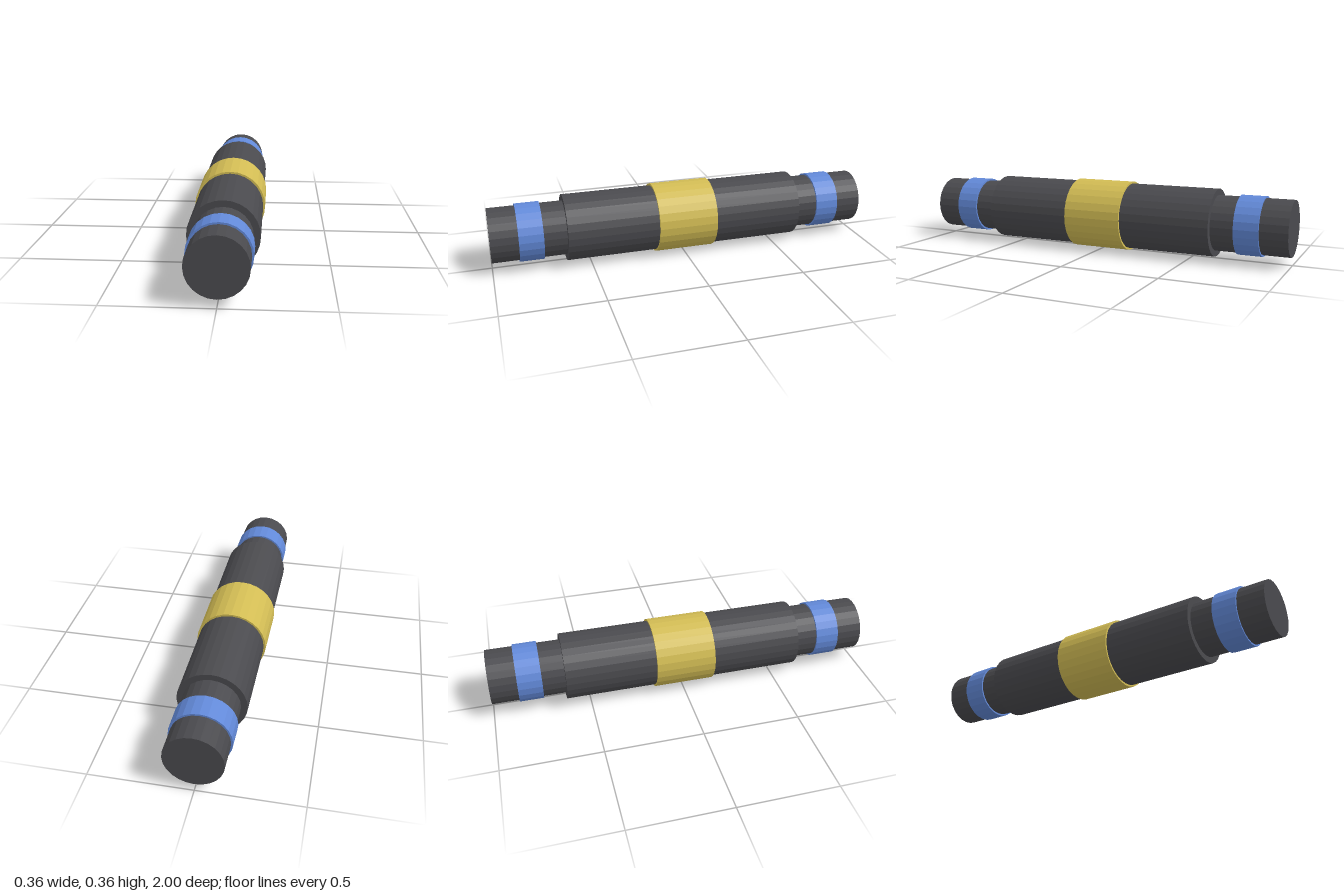
import * as THREE from 'three';

const AXIS_Y = 0.181;

export function createModel() {
  const model = new THREE.Group();
  const material = (name, color) => {
    const m = new THREE.MeshStandardMaterial({ color, flatShading: true });
    m.name = name;
    return m;
  };
  const darkGrey = material('darkGrey', 0x4a4a4e);
  const yellow = material('yellow', 0xd2bc54);
  const blue = material('blue', 0x6289d8);

  // Faceted cylinder lying along z, with a corner at the top
  const addCylinder = (name, radius, length, z, sides, mat) => {
    const geometry = new THREE.CylinderGeometry(radius, radius, length, sides);
    geometry.rotateX(Math.PI / 2);
    const mesh = new THREE.Mesh(geometry, mat);
    mesh.name = name;
    mesh.position.set(0, AXIS_Y, z);
    model.add(mesh);
  };

  // Main barrel and its central band
  addCylinder('barrel', 0.171, 1.246, 0, 28, darkGrey);
  addCylinder('centreBand', AXIS_Y, 0.31, 0, 28, yellow);

  // Narrower end sections, each with a coloured ring
  for (const [end, side] of [['front', 1], ['back', -1]]) {
    addCylinder(end + 'End', 0.14, 0.4, side * 0.8, 24, darkGrey);
    addCylinder(end + 'Ring', 0.149, 0.123, side * 0.801, 24, blue);
  }
  return model;
}
